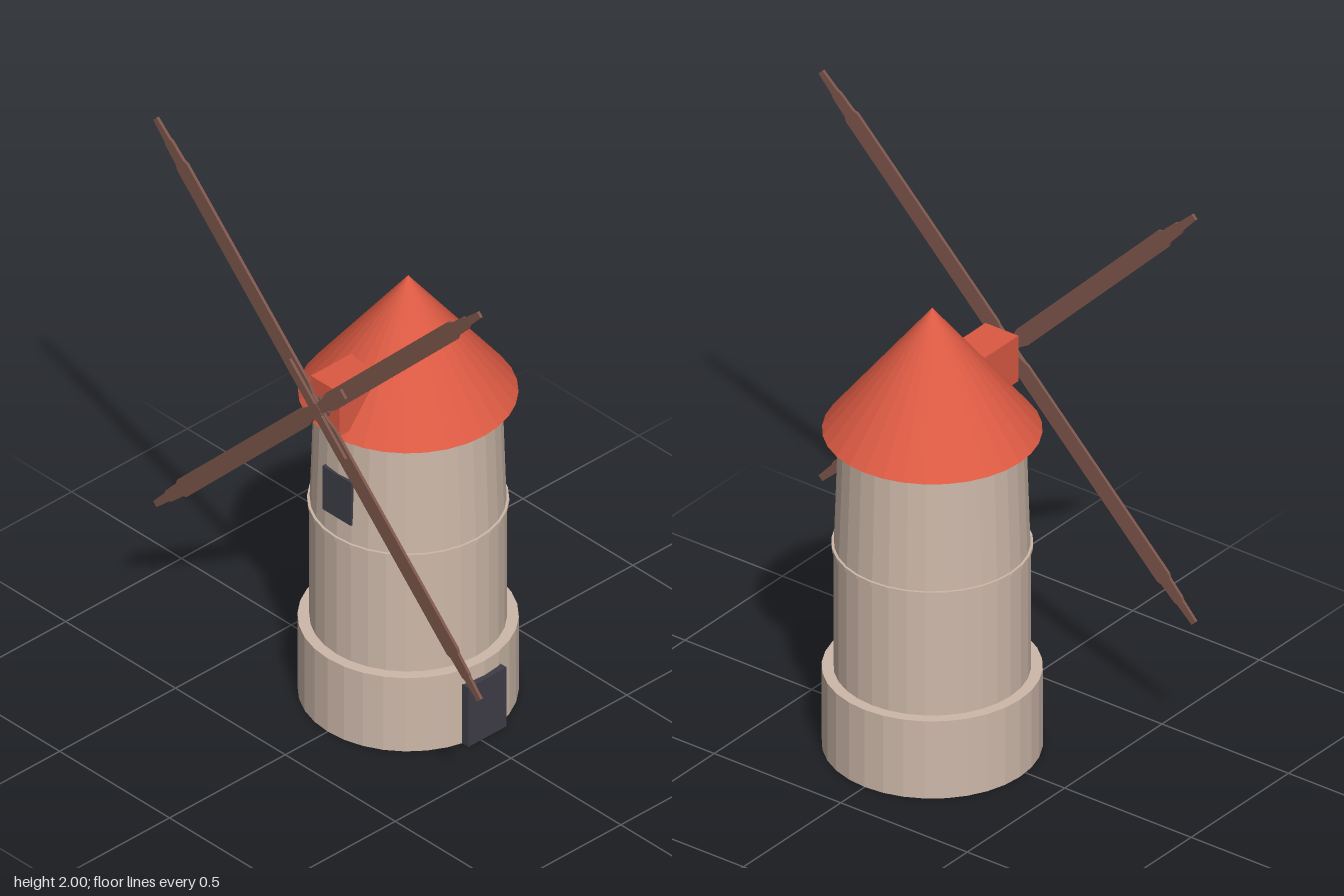
import * as THREE from 'three';

const material = (color) => new THREE.MeshStandardMaterial({ color, flatShading: true });
const stone = material(0xcdb8a9);
const tile = material(0xdc5a43);
const wood = material(0x7d564c);
const dark = material(0x3e3d47);

const SIDES = 32;
const AXIS_Z = -0.03; // tower axis
const HUB_Y = 1.255; // height of the sail axle

export function createModel() {
  const model = new THREE.Group();
  model.name = 'windmill';

  function add(parent, name, geometry, mat, x = 0, y = 0, z = 0) {
    const mesh = new THREE.Mesh(geometry, mat);
    mesh.name = name;
    mesh.position.set(x, y, z);
    parent.add(mesh);
    return mesh;
  }

  // Round sections stacked on the tower axis
  function section(name, rTop, rBottom, y0, y1, mat) {
    const geometry = new THREE.CylinderGeometry(rTop, rBottom, y1 - y0, SIDES);
    add(model, name, geometry, mat, 0, (y0 + y1) / 2, AXIS_Z);
  }
  section('base', 0.347, 0.347, 0, 0.28, stone);
  section('lowerTower', 0.31, 0.31, 0.27, 0.72, stone);
  section('stoneBand', 0.317, 0.317, 0.718, 0.73, stone);
  section('upperTower', 0.295, 0.309, 0.72, 1.15, stone);
  section('roof', 0, 0.346, 1.14, 1.58, tile);

  // Roof housing for the axle
  add(model, 'axleHousing', new THREE.BoxGeometry(0.13, 0.165, 0.33), tile, 0, 1.252, 0.163);

  // Openings
  add(model, 'door', new THREE.BoxGeometry(0.06, 0.225, 0.165), dark, 0.334, 0.1125, -0.028);
  add(model, 'window', new THREE.BoxGeometry(0.13, 0.165, 0.05), dark, -0.002, 0.882, 0.252);

  // Axle and hub, turned to face the front
  function axlePart(name, radius, z0, z1) {
    const geometry = new THREE.CylinderGeometry(radius, radius, z1 - z0, 12).rotateX(Math.PI / 2);
    add(model, name, geometry, wood, 0, HUB_Y, (z0 + z1) / 2);
  }
  axlePart('axle', 0.025, 0.31, 0.36);
  axlePart('hub', 0.037, 0.34, 0.352);
  axlePart('hubCap', 0.03, 0.352, 0.376);

  // Half outline of a sail: [distance from hub, half width]
  const outline = [
    [0, 0.02], [0.045, 0.02], [0.085, 0.031], [0.87, 0.031],
    [0.885, 0.023], [0.955, 0.02], [0.965, 0.015], [1.043, 0.011],
  ];
  const sailShape = new THREE.Shape([
    ...outline.map(([r, w]) => new THREE.Vector2(r, -w)),
    ...outline.map(([r, w]) => new THREE.Vector2(r, w)).reverse(),
  ]);
  const sailGeometry = new THREE.ExtrudeGeometry(sailShape, { depth: 0.01, bevelEnabled: false });
  const braceGeometry = new THREE.BoxGeometry(0.18, 0.034, 0.012);

  // Four diagonal sails, each with a short brace at the root
  const sails = new THREE.Group();
  sails.name = 'sails';
  sails.position.set(0, HUB_Y, 0.354);
  model.add(sails);
  for (let i = 0; i < 4; i++) {
    const sail = new THREE.Group();
    sail.name = 'sail';
    sail.rotation.z = Math.PI / 4 + (i * Math.PI) / 2;
    add(sail, 'sailBlade', sailGeometry, wood);
    add(sail, 'sailBrace', braceGeometry, wood, 0.09, 0, 0.014);
    sails.add(sail);
  }
  return model;
}
